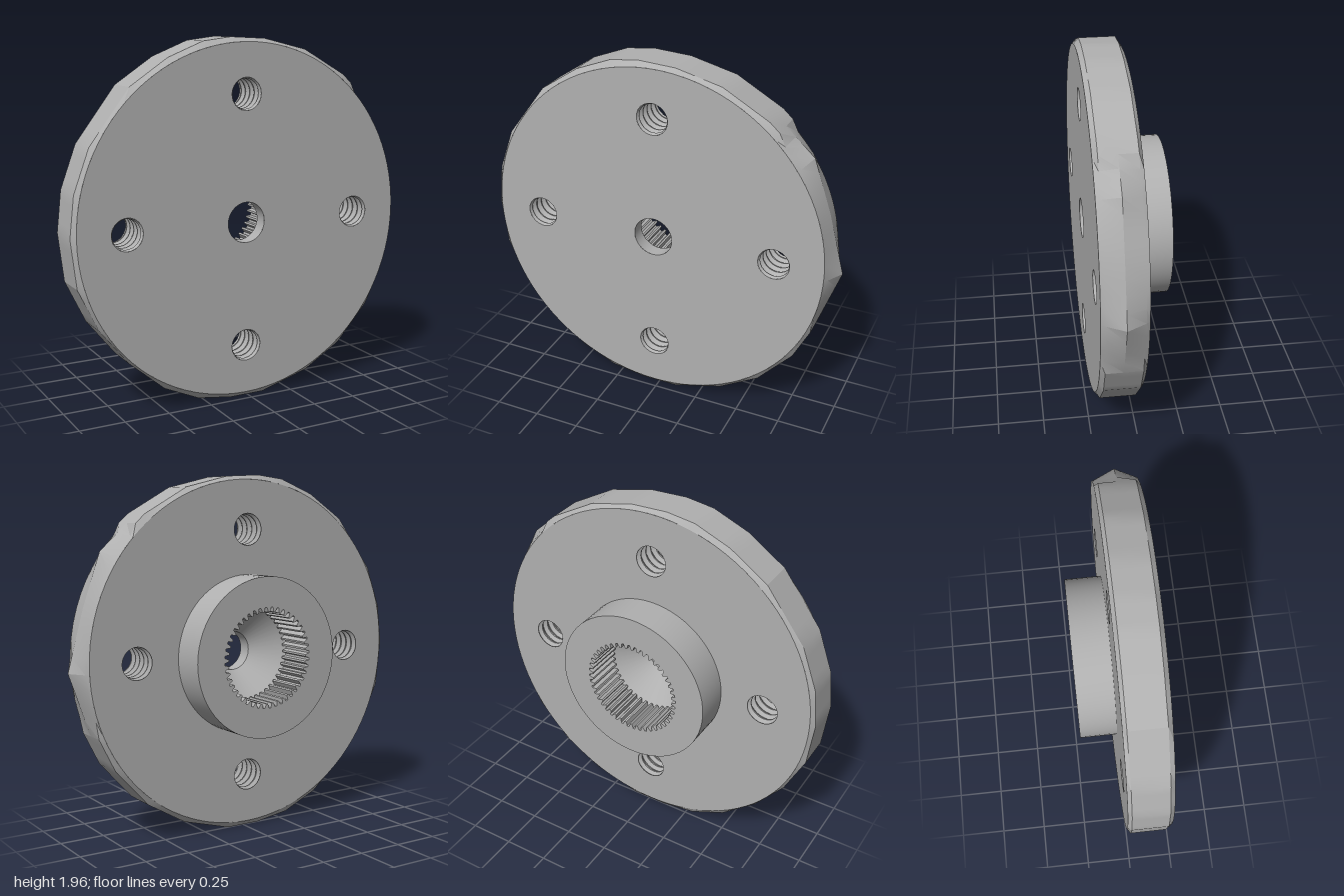
import * as THREE from 'three';
import { toCreasedNormals } from 'three/addons/utils/BufferGeometryUtils.js';

const CX = -0.02, CY = 0.98;          // axis of the flange
const FRONT = 0.22, BACK = -0.02, HUB_END = -0.22;
const FACE_R = 0.955, HUB_R = 0.44, BORE_R = 0.11, BOLT_R = 0.087, BOLT_CIRCLE = 0.685;
const bolts = [0, 1, 2, 3].map(i => {
  const a = i * Math.PI / 2;
  return [BOLT_CIRCLE * Math.cos(a), BOLT_CIRCLE * Math.sin(a)];
});

// Worn outline of the rim at mid thickness, counter-clockwise
const outline = [
  [1.0, 0.94], [0.91, 1.27], [0.81, 1.56], [0.6, 1.75], [0.35, 1.89], [0.1, 1.95], [-0.1, 1.96],
  [-0.26, 1.94], [-0.46, 1.86], [-0.67, 1.72], [-0.89, 1.43], [-0.975, 1.2], [-1.0, 0.98],
  [-0.97, 0.72], [-0.86, 0.49], [-0.7, 0.29], [-0.5, 0.12], [-0.3, 0.03], [-0.1, 0],
  [0.1, 0], [0.38, 0.08], [0.6, 0.21], [0.79, 0.42], [0.88, 0.6],
].map(([x, y]) => [x - CX, y - CY]);

function circlePath(x, y, r) {
  return new THREE.Path().absarc(x, y, r, 0, Math.PI * 2, true);
}

// Flat face with holes, facing front or back
function faceGeometry(centreR, toBack) {
  const shape = new THREE.Shape().absarc(0, 0, FACE_R, 0, Math.PI * 2, false);
  shape.holes.push(circlePath(0, 0, centreR));
  for (const [x, y] of bolts) shape.holes.push(circlePath(x, y, BOLT_R));
  const g = new THREE.ShapeGeometry(shape, 48);
  if (toBack) g.rotateY(Math.PI);
  return g;
}

// Chamfered rim lofted through five rings that follow the worn outline
function rimGeometry() {
  const STEPS = 4, pos = [], idx = [];
  const n = outline.length * STEPS;
  for (let i = 0; i < n; i++) {
    const p = outline[Math.floor(i / STEPS)];
    const q = outline[(Math.floor(i / STEPS) + 1) % outline.length];
    const t = (i % STEPS) / STEPS;
    const x = p[0] + (q[0] - p[0]) * t, y = p[1] + (q[1] - p[1]) * t;
    const mid = Math.hypot(x, y), a = Math.atan2(y, x);
    const dented = a > -0.39 && a < 0.75;      // knocked part with two peaks
    const shoulder = dented ? FACE_R + (mid - FACE_R) * 0.22 : mid;
    const rings = [[FACE_R, FRONT], [shoulder, 0.195], [mid, 0.1], [shoulder, 0], [FACE_R, BACK]];
    for (const [r, z] of rings) pos.push(r * Math.cos(a), r * Math.sin(a), z);
    const j = (i + 1) % n;
    for (let k = 0; k < 4; k++) {
      const a0 = i * 5 + k, b0 = j * 5 + k;
      idx.push(a0, a0 + 1, b0, b0, a0 + 1, b0 + 1);
    }
  }
  const g = new THREE.BufferGeometry();
  g.setAttribute('position', new THREE.Float32BufferAttribute(pos, 3));
  g.setIndex(idx);
  return toCreasedNormals(g, 0.3);
}

// Hub ring with a splined bore
function hubGeometry() {
  const shape = new THREE.Shape().absarc(0, 0, HUB_R, 0, Math.PI * 2, false);
  const TEETH = 44, pts = [];
  for (let i = 0; i < TEETH; i++) {
    [[0, 0.25], [0.3, 0.25], [0.5, 0.275], [0.8, 0.275]].forEach(([f, r]) => {
      const a = (i + f) / TEETH * Math.PI * 2;
      pts.push(new THREE.Vector2(r * Math.cos(a), r * Math.sin(a)));
    });
  }
  shape.holes.push(new THREE.Path(pts.reverse()));
  const g = new THREE.ExtrudeGeometry(shape, { depth: 0.22, bevelEnabled: false, curveSegments: 32 });
  return toCreasedNormals(g, 0.35);
}

// Inward-facing turned surface along z, from [radius, z] pairs running front to back
function turned(points, segments) {
  const g = new THREE.LatheGeometry(points.map(([r, z]) => new THREE.Vector2(r, z)), segments);
  g.rotateX(Math.PI / 2);
  return toCreasedNormals(g, 0.4);
}

export function createModel() {
  const steel = new THREE.MeshStandardMaterial({ color: 0xb0b0b0, side: THREE.DoubleSide });
  steel.name = 'grey steel';
  const group = new THREE.Group();
  group.name = 'splinedFlange';

  const add = (name, geometry, x = 0, y = 0, z = 0) => {
    const mesh = new THREE.Mesh(geometry, steel);
    mesh.name = name;
    mesh.position.set(CX + x, CY + y, z);
    group.add(mesh);
  };

  // Flange disc
  add('frontFace', faceGeometry(BORE_R, false), 0, 0, FRONT);
  add('backFace', faceGeometry(HUB_R, true), 0, 0, BACK);
  add('rim', rimGeometry());

  // Hub, with a conical floor leading to the centre hole
  add('hub', hubGeometry(), 0, 0, HUB_END);
  add('centreHole', turned([[BORE_R, FRONT], [BORE_R, 0.14], [0.276, 0]], 48));

  // Threaded bolt holes
  const thread = [[BOLT_R, FRONT]], TURNS = 5, pitch = (FRONT - BACK) / TURNS;
  for (let i = 0; i < TURNS; i++) {
    const z = FRONT - i * pitch;
    thread.push([0.08, z - pitch * 0.25], [0.08, z - pitch * 0.4], [0.1, z - pitch * 0.7]);
  }
  thread.push([BOLT_R, BACK]);
  const threadGeometry = turned(thread, 32);
  for (const [x, y] of bolts) add('boltHole', threadGeometry, x, y);

  return group;
}
